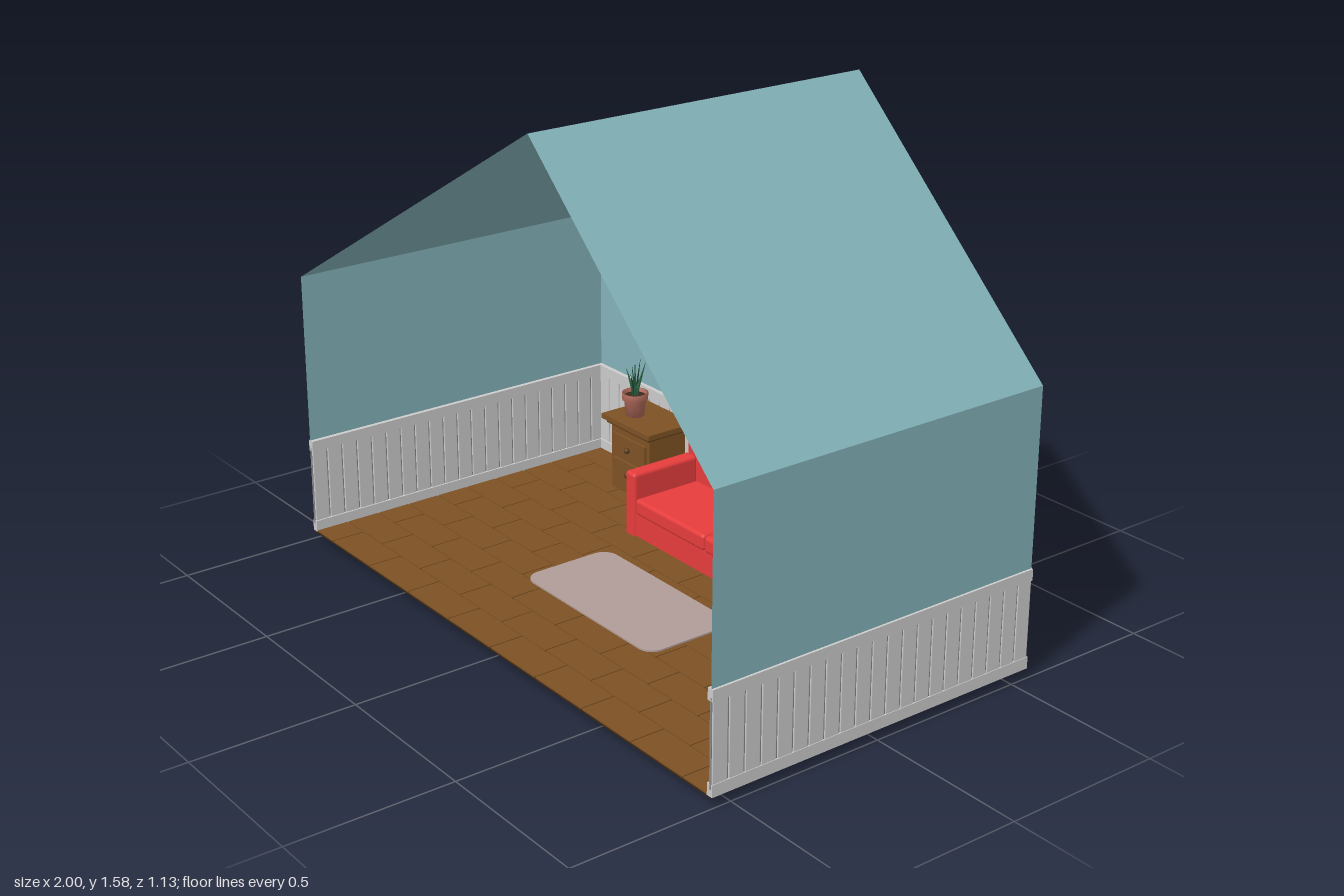
import * as THREE from 'three';
import { RoundedBoxGeometry } from 'three/addons/geometries/RoundedBoxGeometry.js';

const mat = (color, side = THREE.FrontSide) => new THREE.MeshStandardMaterial({ color, side });
const TEAL = mat(0x83b2b9, THREE.DoubleSide), GREY = mat(0xcccccc), RED = mat(0xe63c3c);
const WOOD = mat(0x7d5224), DARKWOOD = mat(0x5e3c18), BLACK = mat(0x222222);

function add(parent, name, geometry, material, x = 0, y = 0, z = 0) {
  const m = new THREE.Mesh(geometry, material);
  m.name = name;
  m.position.set(x, y, z);
  parent.add(m);
  return m;
}
function group(parent, name, x = 0, y = 0, z = 0) {
  const g = new THREE.Group();
  g.name = name;
  g.position.set(x, y, z);
  parent.add(g);
  return g;
}
// Box given by its limits; r > 0 rounds the edges
function box(parent, name, material, [x0, x1], [y0, y1], [z0, z1], r = 0) {
  const s = [x1 - x0, y1 - y0, z1 - z0];
  const g = r ? new RoundedBoxGeometry(...s, 2, r) : new THREE.BoxGeometry(...s);
  return add(parent, name, g, material, (x0 + x1) / 2, (y0 + y1) / 2, (z0 + z1) / 2);
}

const W = 0.992, Z = 0.56, FLOOR = 0.03;

function buildShell(room) {
  const profile = [[-W, FLOOR], [-W, 0.87], [0.235, 1.58], [W, 0.87], [W, FLOOR]];
  // Side walls and roof slopes, swept along z
  const pos = [];
  for (let i = 0; i < 4; i++) {
    const [a, b] = profile[i], [c, d] = profile[i + 1];
    pos.push(a, b, Z, c, d, -Z, a, b, -Z, a, b, Z, c, d, Z, c, d, -Z);
  }
  const sweep = new THREE.BufferGeometry();
  sweep.setAttribute('position', new THREE.Float32BufferAttribute(pos, 3));
  sweep.computeVertexNormals();
  add(room, 'sideWallsAndRoof', sweep, TEAL);
  const gable = new THREE.Shape(profile.map(p => new THREE.Vector2(...p)));
  add(room, 'backWall', new THREE.ShapeGeometry(gable), TEAL, 0, 0, -0.557);
}

function buildFloor(room) {
  const floor = group(room, 'floor');
  box(floor, 'floorBase', mat(0x3a2613), [-W, W], [0.026, 0.03], [-Z, Z]);
  const rows = 10, d = 2 * Z / rows, len = 0.22;
  for (let r = 0; r < rows; r++) {
    const z = -Z + r * d;
    for (let x = -W - (r % 2) * len / 2; x < W - 0.01; x += len) {
      const x0 = Math.max(x, -W), x1 = Math.min(x + len, W);
      box(floor, 'floorBoard', WOOD, [x0 + 0.002, x1 - 0.002], [0.028, 0.034], [z + 0.002, z + d - 0.002]);
    }
  }
}

// One run of wall panelling along local x, room side towards +z
function buildPanelling(parent, name, length, count, baseBack) {
  const g = group(parent, name);
  const w = length / count, h = length / 2;
  box(g, 'panelBacking', mat(0x888888), [-h, h], [0.05, 0.31], [-0.002, 0.005]);
  for (let i = 0; i < count; i++) {
    const x = -h + i * w;
    box(g, 'panelBoard', GREY, [x + 0.002, x + w - 0.002], [0.05, 0.315], [-0.005, 0.009], 0.003);
  }
  box(g, 'panelCap', GREY, [-h, h], [0.30, 0.335], [-0.007, 0.014]);
  box(g, 'baseboard', GREY, [-h, h], [FLOOR, 0.066], [baseBack, 0.014]);
  return g;
}

function buildSofa(room) {
  const sofa = group(room, 'sofa');
  box(sofa, 'sofaBack', RED, [-0.39, 0.39], [0, 0.36], [-0.50, -0.45], 0.014);
  box(sofa, 'sofaBase', RED, [-0.35, 0.35], [0.015, 0.112], [-0.46, -0.212]);
  for (const s of [-1, 1]) {
    const span = (a, b) => s > 0 ? [a, b] : [-b, -a];
    box(sofa, 'sofaArm', RED, span(0.34, 0.39), [0, 0.243], [-0.455, -0.205], 0.012);
    box(sofa, 'seatCushion', RED, span(0.001, 0.341), [0.108, 0.162], [-0.455, -0.207], 0.012);
  }
}

function buildNightstand(room) {
  const g = group(room, 'nightstand');
  box(g, 'cabinet', WOOD, [-0.70, -0.50], [FLOOR, 0.265], [-0.53, -0.385]);
  box(g, 'cabinetTop', WOOD, [-0.725, -0.475], [0.27, 0.287], [-0.55, -0.362]);
  box(g, 'topMoulding', DARKWOOD, [-0.71, -0.49], [0.258, 0.272], [-0.54, -0.373]);
  for (const y of [0.107, 0.193]) {
    box(g, 'drawer', WOOD, [-0.685, -0.515], [y - 0.038, y + 0.038], [-0.39, -0.377]);
    add(g, 'drawerKnob', new THREE.SphereGeometry(0.01, 12, 8), DARKWOOD, -0.6, y, -0.37);
  }
}

function buildPlant(room) {
  const g = group(room, 'pottedPlant', -0.648, 0.287, -0.44);
  const v = (x, y) => new THREE.Vector2(x, y);
  const pot = [v(0, 0), v(0.03, 0), v(0.036, 0.055), v(0.042, 0.055), v(0.043, 0.078), v(0.037, 0.078), v(0.035, 0.065)];
  add(g, 'pot', new THREE.LatheGeometry(pot, 20), mat(0xb0695a, THREE.DoubleSide));
  add(g, 'soil', new THREE.CylinderGeometry(0.036, 0.036, 0.004, 20), mat(0x3a2a1c), 0, 0.065, 0);
  // Spiky leaves, flattened cones leaning outwards
  for (let i = 0; i < 8; i++) {
    const h = 0.13 - (i % 3) * 0.022;
    const leaf = new THREE.ConeGeometry(0.008, h, 5).scale(1, 1, 0.4).translate(0, h / 2, 0);
    const m = add(g, 'leaf', leaf, mat(i % 2 ? 0x2f6b45 : 0x1e4a33), 0, 0.063, 0);
    m.rotation.set(0, i * 2.4, i ? -0.13 - 0.05 * (i % 4) : 0);
  }
}

function buildShelf(room) {
  const g = group(room, 'bookShelf');
  box(g, 'shelfBoard', GREY, [0.375, 0.555], [0.487, 0.51], [-0.562, -0.45], 0.004);
  // x of the foot, thickness, height, lean, colour
  const books = [[0.412, 0.018, 0.125, -0.22, 0xc8405c], [0.434, 0.016, 0.105, -0.18, 0x2a2a30],
    [0.452, 0.014, 0.12, -0.12, 0x30363c], [0.468, 0.016, 0.118, -0.09, 0xc88a35],
    [0.486, 0.014, 0.115, -0.07, 0x4a3550], [0.503, 0.014, 0.118, -0.06, 0x3c5cb0]];
  for (const [x, t, h, lean, color] of books) {
    const b = group(g, 'book', x, 0.513, -0.50);
    box(b, 'bookCover', mat(color), [0, t], [0, h], [-0.045, 0.04]);
    box(b, 'bookPages', GREY, [0.002, t - 0.002], [0.002, h + 0.001], [-0.047, 0.036]);
    b.rotation.z = lean;
  }
}

function buildClock(room) {
  const g = group(room, 'wallClock', 0.758, 0.617, -0.553);
  add(g, 'clockFace', new THREE.CylinderGeometry(0.074, 0.074, 0.022, 40).rotateX(Math.PI / 2), GREY);
  add(g, 'clockRim', new THREE.TorusGeometry(0.073, 0.004, 8, 40), mat(0x4b8fb5), 0, 0, 0.01);
  for (const [len, angle] of [[0.05, -0.85], [0.032, 0.1]]) {
    const hand = new THREE.BoxGeometry(0.004, len, 0.002).translate(0, len / 2 - 0.008, 0);
    add(g, 'clockHand', hand, BLACK, 0, 0, 0.013).rotation.z = angle;
  }
}

function buildBin(room) {
  const v = (x, y) => new THREE.Vector2(x, y);
  const profile = [v(0, 0), v(0.054, 0), v(0.07, 0.145), v(0.075, 0.148), v(0.075, 0.158), v(0.068, 0.158), v(0.05, 0.005), v(0, 0.005)];
  add(room, 'wasteBin', new THREE.LatheGeometry(profile, 28), mat(0x5c5c5c, THREE.DoubleSide), 0.545, 0.032, -0.46);
}

function buildSocket(room) {
  const g = group(room, 'wallSocket', -0.782, 0.298, -0.55);
  box(g, 'socketPlate', GREY, [-0.029, 0.029], [-0.028, 0.028], [-0.018, 0.018], 0.005);
  box(g, 'socketInset', mat(0xaaaaaa), [-0.017, 0.017], [-0.016, 0.016], [0.016, 0.02]);
  for (const x of [-0.007, 0.007]) {
    add(g, 'socketHole', new THREE.CylinderGeometry(0.003, 0.003, 0.002, 8).rotateX(Math.PI / 2), BLACK, x, 0, 0.0205);
  }
}

function buildRug(room) {
  const w = 0.31, d = 0.155, r = 0.05, s = new THREE.Shape();
  s.absarc(w - r, d - r, r, 0, Math.PI / 2);
  s.absarc(r - w, d - r, r, Math.PI / 2, Math.PI);
  s.absarc(r - w, r - d, r, Math.PI, 1.5 * Math.PI);
  s.absarc(w - r, r - d, r, 1.5 * Math.PI, 2 * Math.PI);
  const geo = new THREE.ExtrudeGeometry(s, { depth: 0.006, bevelEnabled: false }).rotateX(-Math.PI / 2);
  add(room, 'rug', geo, mat(0xb09c98), 0, 0.033, 0.078);
}

export function createModel() {
  const room = new THREE.Group();
  room.name = 'livingRoom';
  buildShell(room);
  buildFloor(room);
  // Panelling on the back and both side walls
  buildPanelling(room, 'backPanelling', 2 * W, 36, 0).position.z = -0.556;
  for (const s of [-1, 1]) {
    const side = buildPanelling(room, s > 0 ? 'leftPanelling' : 'rightPanelling', 2 * Z, 21, -0.007);
    side.position.x = s * W;
    side.rotation.y = -s * Math.PI / 2;
  }
  buildSofa(room);
  buildNightstand(room);
  buildPlant(room);
  buildShelf(room);
  buildClock(room);
  buildBin(room);
  buildSocket(room);
  buildRug(room);
  return room;
}
